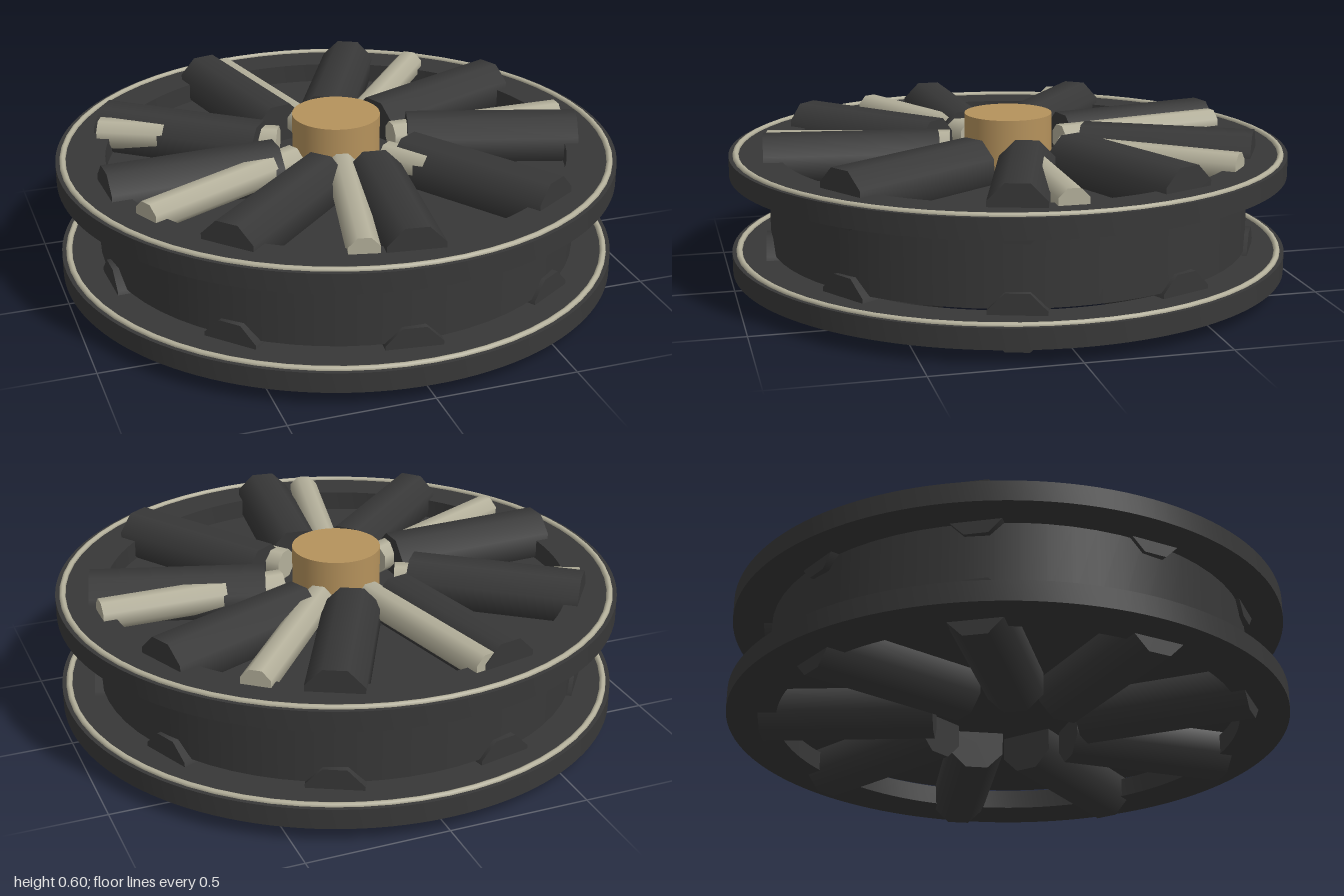
import * as THREE from 'three';
import { toCreasedNormals } from 'three/addons/utils/BufferGeometryUtils.js';

const mat = (name, color) => {
  const m = new THREE.MeshStandardMaterial({ color });
  m.name = name;
  return m;
};

export function createModel() {
  const dark = mat('dark rubber', 0x383838);
  const cream = mat('cream', 0xb4b09b);
  const brass = mat('brass', 0xb5925c);
  const model = new THREE.Group();

  const add = (name, geometry, material, x, y, z, turn = 0) => {
    const mesh = new THREE.Mesh(geometry, material);
    mesh.name = name;
    mesh.position.set(x, y, z);
    mesh.rotation.y = -turn;
    model.add(mesh);
  };

  // Upright cylinder between two heights
  const disc = (name, r, y0, y1, material) =>
    add(name, new THREE.CylinderGeometry(r, r, y1 - y0, 64), material, 0, (y0 + y1) / 2, 0);

  // Eight-sided bar lying along x, flat side up
  const bar = (r, length) =>
    new THREE.CylinderGeometry(r, r, length, 8).rotateY(Math.PI / 8).rotateZ(Math.PI / 2);

  // Flat flange with a round opening
  const shape = new THREE.Shape().absarc(0, 0, 1, 0, Math.PI * 2, false);
  shape.holes.push(new THREE.Path().absarc(0, 0, 0.825, 0, Math.PI * 2, true));
  const flange = toCreasedNormals(
    new THREE.ExtrudeGeometry(shape, { depth: 0.072, bevelEnabled: false, curveSegments: 64 }).rotateX(-Math.PI / 2),
    0.5
  );
  const trim = new THREE.TorusGeometry(0.975, 0.011, 8, 64).rotateX(Math.PI / 2);
  const roller = bar(0.106, 0.615);
  const spoke = bar(0.056, 0.66);

  // Drum, base of the hub and hub
  disc('drum', 0.86, 0.14, 0.405, dark);
  disc('hubBase', 0.3, 0.40, 0.415, dark);
  disc('hub', 0.157, 0.40, 0.6, brass);

  // Two matching flanges, each with a trim ring and nine skewed rollers
  [['lower', 0.052, 0.098], ['upper', 0.405, 0.457]].forEach(([side, flangeY, rollerY]) => {
    add(side + 'Flange', flange, dark, 0, flangeY, 0);
    add(side + 'Trim', trim, cream, 0, flangeY + 0.072, 0);
    for (let i = 0; i < 9; i++) {
      const a = THREE.MathUtils.degToRad(9 + i * 40);
      const skew = THREE.MathUtils.degToRad(8.2);
      add(side + 'Roller', roller, dark, 0.572 * Math.cos(a), rollerY, 0.572 * Math.sin(a), a + skew);
    }
  });

  // Seven radial spokes on top
  for (let i = 0; i < 7; i++) {
    const a = (i / 7) * Math.PI * 2;
    add('spoke', spoke, cream, 0.54 * Math.cos(a), 0.48, 0.54 * Math.sin(a), a);
  }
  return model;
}
